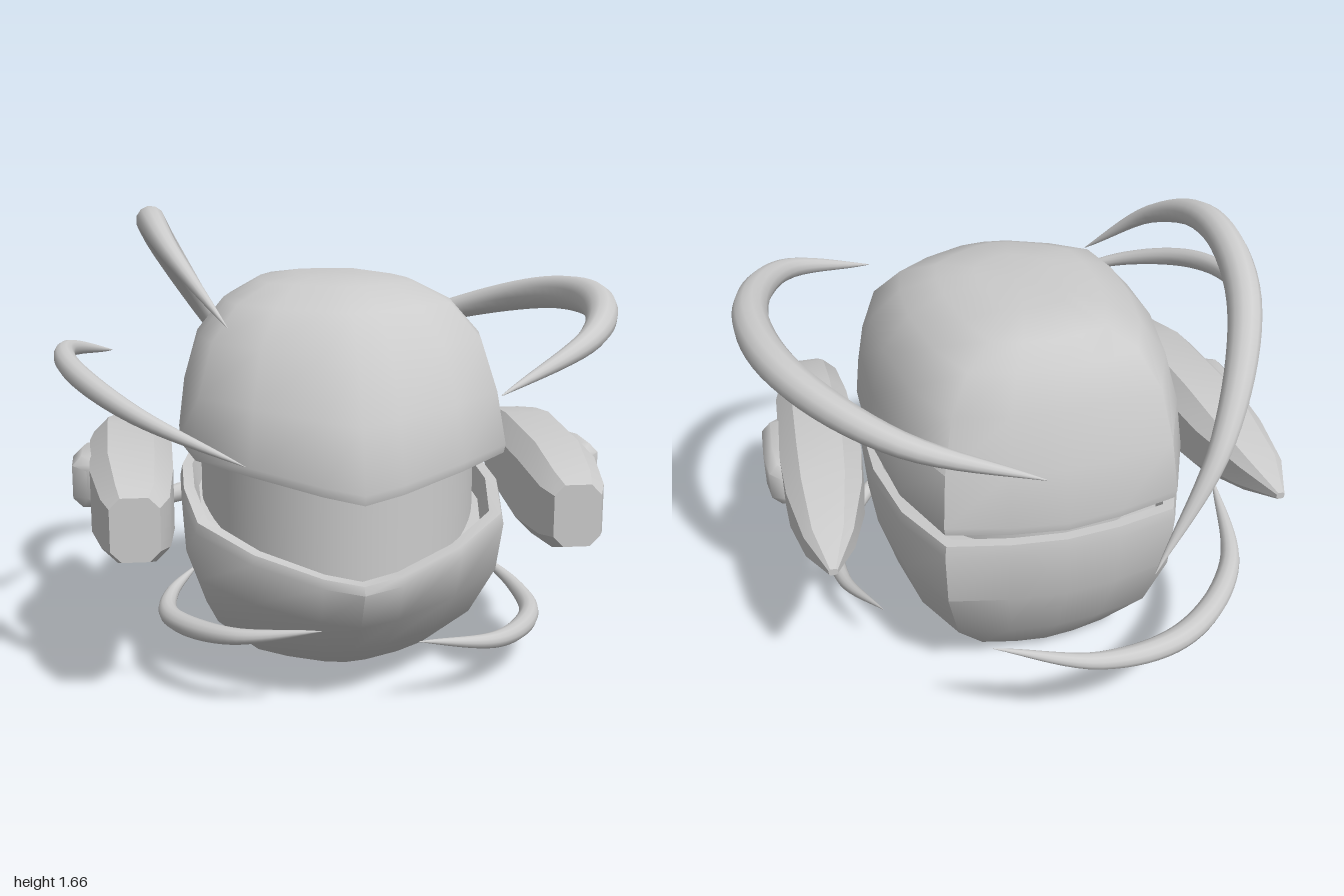
import * as THREE from 'three';
import { toCreasedNormals } from 'three/addons/utils/BufferGeometryUtils.js';

const material = new THREE.MeshStandardMaterial({ color: 0xcccccc });

function addMesh(parent, name, geometry) {
  const mesh = new THREE.Mesh(geometry, material);
  mesh.name = name;
  parent.add(mesh);
  return mesh;
}

// Skin closed rings of [x, y, z] points and cap both ends
function loft(rings, crease) {
  const n = rings[0].length;
  const last = (rings.length - 1) * n;
  const points = rings.flat();
  const mean = (ring) => [0, 1, 2].map((k) => ring.reduce((sum, p) => sum + p[k], 0) / n);
  points.push(mean(rings[0]), mean(rings[rings.length - 1]));
  const index = [];
  for (let j = 0; j < n; j++) {
    const k = (j + 1) % n;
    for (let i = 0; i < last; i += n) {
      index.push(i + j, i + k, i + n + k, i + j, i + n + k, i + n + j);
    }
    index.push(points.length - 2, k, j, points.length - 1, last + j, last + k);
  }
  const geometry = new THREE.BufferGeometry();
  geometry.setAttribute('position', new THREE.Float32BufferAttribute(points.flat(), 3));
  geometry.setIndex(index);
  return toCreasedNormals(geometry, crease);
}

// Half of the helmet outline from front to back: x, z, lower rim y, upper rim y
const half = [
  [0, 0.87, 0.48, 0.745], [0.13, 0.84, 0.5, 0.77], [0.35, 0.71, 0.55, 0.81],
  [0.53, 0.55, 0.62, 0.835], [0.575, 0.3, 0.68, 0.84], [0.58, 0, 0.7, 0.82],
  [0.53, -0.32, 0.72, 0.795], [0.42, -0.57, 0.73, 0.78], [0.2, -0.62, 0.73, 0.775],
  [0, -0.64, 0.73, 0.77],
];
const outline = [
  ...half,
  ...half.slice(1, -1).reverse().map(([x, z, lo, hi]) => [-x, z, lo, hi]),
];

// Levels: height fraction from rim to end, width scale, front scale, back scale
function shellRings(levels, rimColumn, endY) {
  return levels.map(([f, sx, front, back]) => outline.map((p) => [
    p[0] * sx,
    p[rimColumn] + (endY - p[rimColumn]) * f,
    p[1] * (p[1] > 0 ? front : back),
  ]));
}

// Crescent: a tube along a smooth path, tapered to a point at both ends
function crescent(parent, name, radius, path) {
  const curve = new THREE.CatmullRomCurve3(path.map((p) => new THREE.Vector3(...p)));
  const steps = 40, sides = 12;
  const geometry = new THREE.TubeGeometry(curve, steps, radius, sides);
  const position = geometry.attributes.position;
  const v = new THREE.Vector3();
  for (let i = 0; i <= steps; i++) {
    const center = curve.getPointAt(i / steps);
    const taper = Math.max(0.01, Math.sin(Math.PI * i / steps)) ** 0.8;
    for (let j = 0; j <= sides; j++) {
      const k = i * (sides + 1) + j;
      v.fromBufferAttribute(position, k).sub(center).multiplyScalar(taper).add(center);
      position.setXYZ(k, v.x, v.y, v.z);
    }
  }
  addMesh(parent, name, geometry);
}

// Eight-sided section with cut corners, at depth z
function podSection([z, x0, x1, y0, y1]) {
  const c = 0.22 * Math.min(x1 - x0, y1 - y0);
  return [
    [x1, y0 + c, z], [x1, y1 - c, z], [x1 - c, y1, z], [x0 + c, y1, z],
    [x0, y1 - c, z], [x0, y0 + c, z], [x0 + c, y0, z], [x1 - c, y0, z],
  ];
}

function createPod(name) {
  const pod = new THREE.Group();
  pod.name = name;
  addMesh(pod, 'podBody', loft([
    [-0.61, 0.79, 0.82, 0.73, 0.755],
    [-0.45, 0.71, 0.88, 0.67, 0.81],
    [-0.2, 0.64, 0.91, 0.59, 0.85],
    [0, 0.61, 0.91, 0.56, 0.87],
    [0.45, 0.6, 0.88, 0.515, 0.85],
    [0.7, 0.61, 0.83, 0.54, 0.8],
    [0.77, 0.64, 0.8, 0.56, 0.77],
  ].map(podSection), 0.6));
  addMesh(pod, 'podCap', loft([
    [-0.05, 0.8, 0.91, 0.64, 0.77],
    [-0.01, 0.8, 0.955, 0.615, 0.79],
    [0.1, 0.8, 0.965, 0.605, 0.8],
    [0.27, 0.8, 0.955, 0.615, 0.8],
    [0.33, 0.8, 0.9, 0.64, 0.78],
  ].map(podSection), 0.9));
  return pod;
}

export function createModel() {
  const model = new THREE.Group();
  model.name = 'helmet';

  // Shells, each with a turned-in rim
  addMesh(model, 'upperShell', loft(shellRings([
    [0.12, 0.88, 0.88, 0.88], [0, 0.92, 0.93, 0.93], [0, 0.99, 0.99, 0.99],
    [0.05, 1, 1, 1], [0.35, 0.96, 0.91, 0.94], [0.65, 0.87, 0.81, 0.86],
    [0.85, 0.7, 0.64, 0.76], [0.96, 0.48, 0.44, 0.65], [0.995, 0.25, 0.25, 0.35],
  ], 3, 1.42), 0.9));
  addMesh(model, 'lowerShell', loft(shellRings([
    [1, 0.42, 0.25, 0.25], [0.93, 0.58, 0.44, 0.6], [0.67, 0.86, 0.67, 0.82],
    [0.35, 0.98, 0.9, 0.97], [0.06, 1, 1, 1], [0, 0.985, 0.99, 0.99],
    [0, 0.92, 0.93, 0.93], [0.12, 0.88, 0.88, 0.88],
  ], 2, 0), 0.9));

  // Recessed visor band
  const visor = addMesh(model, 'visor', new THREE.CylinderGeometry(1, 1, 0.5, 64));
  visor.scale.set(0.5, 1, 0.64);
  visor.position.set(0, 0.68, 0.1);

  // Side pods
  const rightPod = createPod('rightPod');
  rightPod.scale.x = -1;
  model.add(createPod('leftPod'), rightPod);

  // Crescents floating around the helmet
  crescent(model, 'topRightCrescent', 0.058, [
    [-0.41, 1.27, 0.5], [-0.59, 1.5, 0.25], [-0.665, 1.605, -0.1],
    [-0.63, 1.5, -0.5], [-0.45, 1.18, -0.82], [-0.2, 0.78, -0.94],
  ]);
  crescent(model, 'topLeftCrescent', 0.066, [
    [0.41, 1.1, 0.93], [0.77, 1.24, 0.68], [0.94, 1.32, 0.2],
    [0.87, 1.31, -0.25], [0.57, 1.21, -0.6], [0.1, 1.05, -0.71],
  ]);
  crescent(model, 'upperRightCrescent', 0.038, [
    [-0.38, 0.91, 0.98], [-0.7, 1.04, 0.82], [-0.91, 1.14, 0.53],
    [-0.96, 1.17, 0.2], [-0.83, 1.11, -0.22],
  ]);
  crescent(model, 'lowerBackCrescent', 0.044, [
    [0.33, 0.52, -0.87], [-0.03, 0.45, -0.95], [-0.36, 0.42, -0.87],
    [-0.65, 0.43, -0.58], [-0.78, 0.48, -0.1],
  ]);
  crescent(model, 'lowerRightCrescent', 0.036, [
    [-0.13, 0.31, 0.79], [-0.42, 0.27, 0.69], [-0.62, 0.25, 0.42],
    [-0.62, 0.26, 0.2], [-0.52, 0.3, -0.02],
  ]);
  crescent(model, 'lowerLeftCrescent', 0.037, [
    [0.19, 0.26, 0.79], [0.5, 0.19, 0.62], [0.71, 0.16, 0.28],
    [0.72, 0.18, 0.02], [0.61, 0.25, -0.28],
  ]);

  return model;
}
